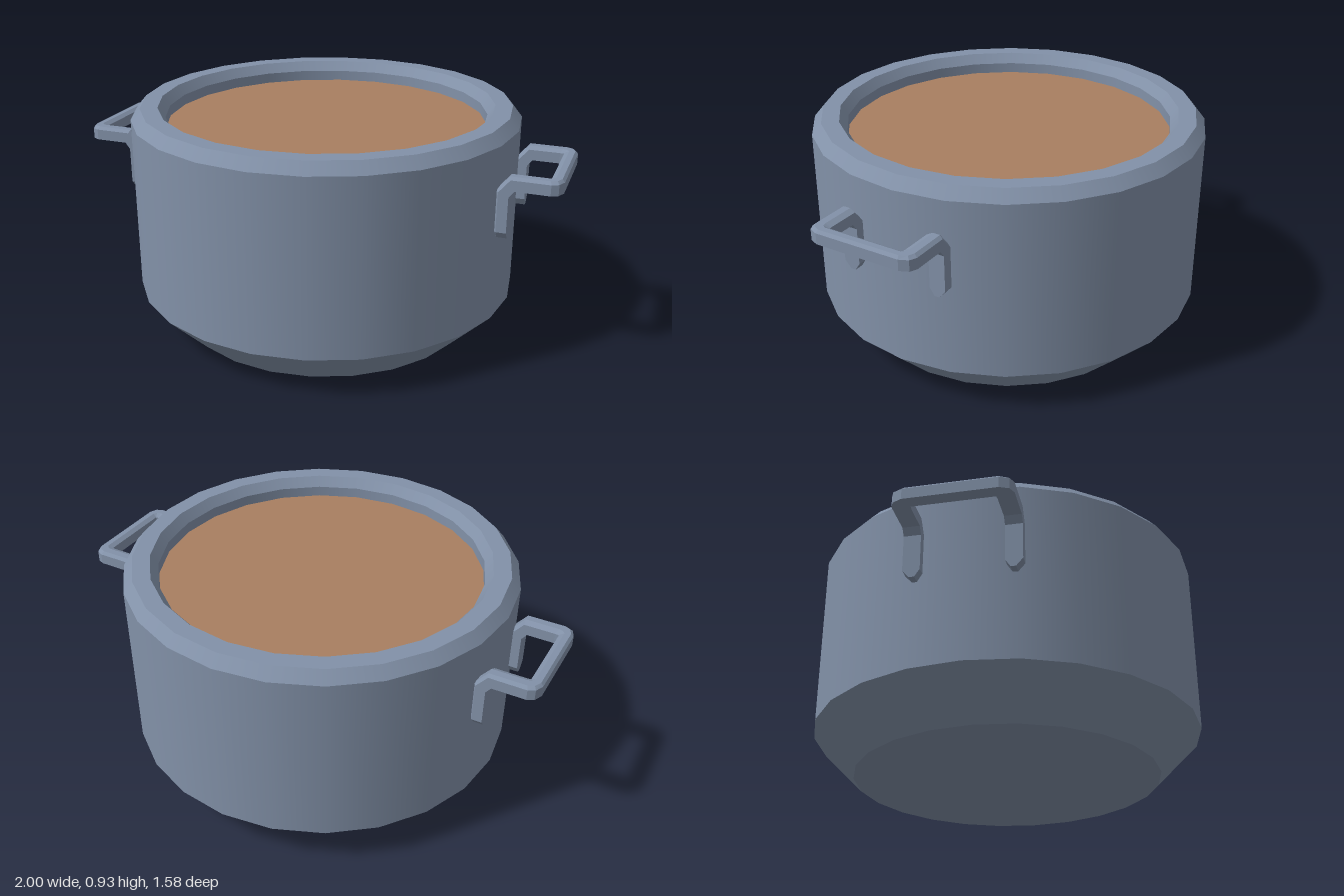
import * as THREE from 'three';

const SIDES = 24;
const metal = new THREE.MeshStandardMaterial({ color: 0x8291a8 });
metal.name = 'blue grey metal';
const broth = new THREE.MeshStandardMaterial({ color: 0xa97f60 });
broth.name = 'brown broth';

// One smooth band of the pot between two [radius, y] profile points
function band(name, from, to) {
  const points = [new THREE.Vector2(...from), new THREE.Vector2(...to)];
  const mesh = new THREE.Mesh(new THREE.LatheGeometry(points, SIDES), metal);
  mesh.name = name;
  return mesh;
}

// Flat disc with corners matching the pot; facing up (1) or down (-1)
function disc(name, radius, y, facing, material) {
  const geometry = new THREE.CircleGeometry(radius, SIDES);
  geometry.rotateX(-facing * Math.PI / 2);
  const mesh = new THREE.Mesh(geometry, material);
  mesh.name = name;
  mesh.position.y = y;
  return mesh;
}

// Chamfered bar section in (u, v): u points to the outside of the loop, v up
const SECTION = [[-1, -1], [1, -1], [1, 0.6], [0.6, 1], [-0.3, 1], [-1, 0.6]];

// Half of the handle: centre, u axis and v axis at each station
const HALF = [
  [[0.78, 0.515, 0.187], [0, 0, 0.01], [-0.025, 0, 0]],
  [[0.78, 0.545, 0.19], [0, 0, 0.033], [-0.025, 0, 0]],
  [[0.78, 0.70, 0.19], [0, 0, 0.033], [-0.025, 0.01, 0]],
  [[0.815, 0.743, 0.19], [0, 0, 0.033], [-0.01, 0.027, 0]],
  [[0.945, 0.743, 0.19], [0.013, 0, 0.033], [0, 0.027, 0]],
  [[0.963, 0.743, 0.183], [0.022, 0, 0.027], [0, 0.027, 0]],
  [[0.974, 0.743, 0.165], [0.026, 0, 0.01], [0, 0.027, 0]],
];

// Faceted bent bar swept through the half stations and their mirror
function handleGeometry() {
  const flip = ([x, y, z]) => [x, y, -z];
  const stations = [...HALF, ...HALF.slice().reverse().map((s) => s.map(flip))];
  const rings = stations.map(([c, u, v]) =>
    SECTION.map(([a, b]) => c.map((value, i) => value + a * u[i] + b * v[i])));
  const positions = [];
  const triangle = (...corners) => corners.forEach((p) => positions.push(...p));
  const n = SECTION.length;
  for (let i = 0; i < rings.length - 1; i++) {
    for (let k = 0; k < n; k++) {
      const j = (k + 1) % n;
      const [r, s] = [rings[i], rings[i + 1]];
      triangle(r[k], s[k], s[j]);
      triangle(r[k], s[j], r[j]);
    }
  }
  const first = rings[0];
  const last = rings[rings.length - 1];
  for (let k = 1; k < n - 1; k++) {
    triangle(first[0], first[k], first[k + 1]);
    triangle(last[0], last[k + 1], last[k]);
  }
  const geometry = new THREE.BufferGeometry();
  geometry.setAttribute('position', new THREE.Float32BufferAttribute(positions, 3));
  geometry.computeVertexNormals();
  return geometry;
}

export function createModel() {
  const model = new THREE.Group();
  model.name = 'cookingPot';

  // Pot shell, from the base up over the rim and down the inside
  const pot = new THREE.Group();
  pot.name = 'pot';
  pot.add(
    disc('base', 0.62, 0, -1, metal),
    band('lowerBevel', [0.62, 0], [0.79, 0.17]),
    band('wall', [0.79, 0.17], [0.79, 0.88]),
    band('outerRimBevel', [0.79, 0.88], [0.752, 0.925]),
    band('rimTop', [0.752, 0.925], [0.682, 0.925]),
    band('innerRimBevel', [0.682, 0.925], [0.652, 0.885]),
    band('innerWall', [0.652, 0.885], [0.652, 0.82]),
  );
  model.add(pot);

  // Contents
  model.add(disc('soup', 0.652, 0.842, 1, broth));

  // Handles on both sides
  const geometry = handleGeometry();
  for (const [name, turn] of [['leftHandle', 0], ['rightHandle', Math.PI]]) {
    const handle = new THREE.Mesh(geometry, metal);
    handle.name = name;
    handle.rotation.y = turn;
    model.add(handle);
  }
  return model;
}
